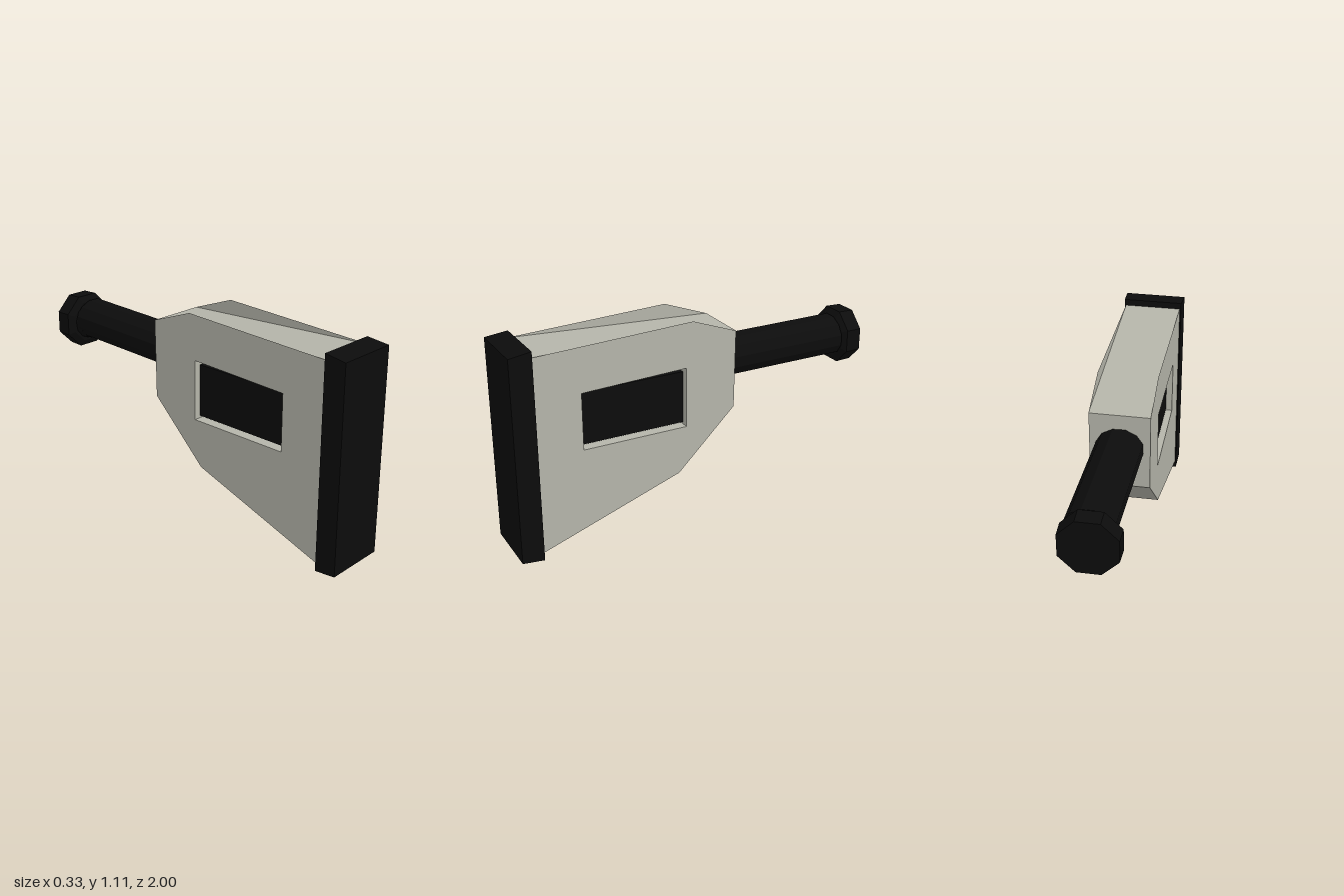
import * as THREE from 'three';

const putty = new THREE.MeshStandardMaterial({ color: 0xb5b5aa, side: THREE.DoubleSide, flatShading: true });
putty.name = 'warm grey housing';
const black = new THREE.MeshStandardMaterial({ color: 0x0c0c0c, flatShading: true });
black.name = 'black rubber';

const HALF = 0.153; // half width of the housing

function add(group, name, geometry, material) {
  const mesh = new THREE.Mesh(geometry, material);
  mesh.name = name;
  group.add(mesh);
  return mesh;
}

// Outline points are [z, y]; the extrusion runs across x
function outline(points, Type) {
  return new Type(points.map(([z, y]) => new THREE.Vector2(-z, y)));
}

// Faceted rod between two points, with its own radius at each end
function rod(group, name, from, to, r0, r1, sides, squash = 1) {
  const a = new THREE.Vector3(...from), b = new THREE.Vector3(...to);
  const geometry = new THREE.CylinderGeometry(r1, r0, a.distanceTo(b), sides);
  geometry.rotateY(Math.PI / sides);
  geometry.scale(1, 1, squash);
  const mesh = add(group, name, geometry, black);
  mesh.position.copy(a).lerp(b, 0.5);
  mesh.quaternion.setFromUnitVectors(new THREE.Vector3(0, 1, 0), b.clone().sub(a).normalize());
  return mesh;
}

export function createModel() {
  const model = new THREE.Group();
  model.name = 'handheldScanner';

  // Housing: side outline with a rectangular window through it
  const side = outline([[0.9, 0.035], [0.12, 0.3], [-0.2, 0.61], [-0.205, 1.025], [0.9, 1.08]], THREE.Shape);
  side.holes.push(outline([[0.645, 0.555], [0.645, 0.855], [0.078, 0.875], [0.078, 0.555]], THREE.Path));
  const housing = new THREE.ExtrudeGeometry(side, { depth: HALF * 2, bevelEnabled: false });
  housing.rotateY(Math.PI / 2);
  housing.translate(-HALF, 0, 0);
  add(model, 'housing', housing, putty);

  // Side walls rising above the flat top
  for (const s of [-1, 1]) {
    const wall = new THREE.ShapeGeometry(outline([[0.9, 1.08], [0.04, 1.115], [-0.205, 1.025]], THREE.Shape));
    wall.rotateY(Math.PI / 2);
    wall.translate(s * HALF, 0, 0);
    add(model, s > 0 ? 'leftTopWall' : 'rightTopWall', wall, putty);
  }

  // Dark block recessed in the window
  const block = new THREE.BoxGeometry(0.24, 0.277, 0.555);
  block.translate(0, 0.707, 0.358);
  add(model, 'windowBlock', block, black);

  // Front bumper, slightly shorter at its front face
  const bumper = new THREE.BoxGeometry(0.33, 1.112, 0.118);
  const p = bumper.attributes.position;
  for (let i = 0; i < p.count; i++) {
    if (p.getZ(i) > 0) p.setY(i, p.getY(i) * 0.972);
    else p.setX(i, p.getX(i) * 0.97);
  }
  bumper.translate(0, 0.558, 0.941);
  add(model, 'frontBumper', bumper, black);

  // Small dark slot on the sloping underside at the back
  const slot = add(model, 'rearSlot', new THREE.BoxGeometry(0.08, 0.008, 0.05), black);
  slot.position.set(0, 0.565, -0.155);
  slot.rotation.x = Math.atan2(0.31, 0.32);

  // Handle, neck and end knob
  rod(model, 'handle', [0.0, 0.838, -0.18], [0.018, 0.85, -0.885], 0.122, 0.122, 12, 0.9);
  rod(model, 'handleNeck', [0.005, 0.843, -0.88], [0, 0.838, -0.915], 0.105, 0.105, 12);
  rod(model, 'knobRim', [0, 0.836, -0.895], [0, 0.836, -0.915], 0.12, 0.152, 8);
  rod(model, 'endKnob', [0, 0.836, -0.915], [0, 0.836, -1], 0.155, 0.152, 8);

  return model;
}
